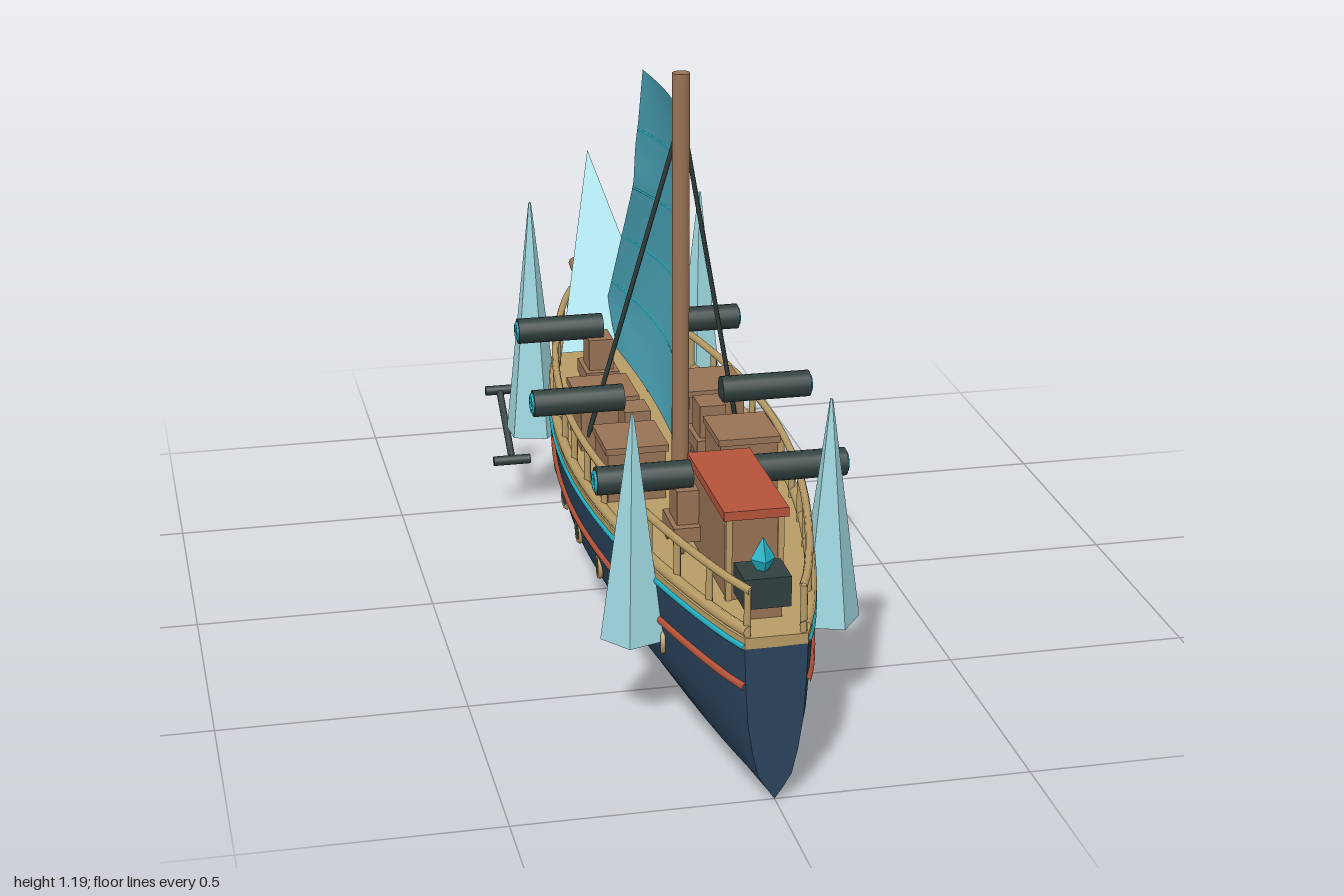
import * as THREE from 'three';
import { ConvexGeometry } from 'three/addons/geometries/ConvexGeometry.js';

const V = (x, y, z) => new THREE.Vector3(x, y, z);
const Z0 = -0.78, Z1 = 1.0;
// half width of the hull at the sheer line
const half = z => 0.06 + 0.16 * Math.pow(Math.max(0, Math.sin(Math.PI * (z - Z0) / (Z1 - Z0))), 0.85);

function material(name, color, extra = {}) {
  const m = new THREE.MeshStandardMaterial({ color, ...extra });
  m.name = name;
  return m;
}

export function createModel() {
  const root = new THREE.Group();
  root.name = 'sailingShip';
  const hullBlue = material('hullBlue', 0x2a445c);
  const deckTan = material('deckTan', 0xb89c66);
  const woodBrown = material('woodBrown', 0x987355);
  const roofRed = material('roofRed', 0xb5533a);
  const ironDark = material('ironDark', 0x31403f);
  const sailTeal = material('sailTeal', 0x4ba6ba, { side: THREE.DoubleSide });
  const brightTeal = material('brightTeal', 0x22b2c6);
  const ice = material('ice', 0xa0d8e0, { flatShading: true });

  const add = (name, geo, mat, x = 0, y = 0, z = 0) => {
    const m = new THREE.Mesh(geo, mat);
    m.name = name;
    m.position.set(x, y, z);
    root.add(m);
    return m;
  };
  const box = (name, w, h, d, mat, x, y, z) => add(name, new THREE.BoxGeometry(w, h, d), mat, x, y, z);
  const rod = (name, a, b, r, mat, sides = 10) => {
    const dir = b.clone().sub(a);
    const m = add(name, new THREE.CylinderGeometry(r, r, dir.length(), sides), mat);
    m.position.copy(a).add(b).multiplyScalar(0.5);
    m.quaternion.setFromUnitVectors(V(0, 1, 0), dir.normalize());
    return m;
  };
  // tube that follows the side of the hull
  const sideTube = (name, s, y, scale, offset, r, mat) => {
    const pts = [];
    for (let i = 0; i <= 28; i++) {
      const z = Z0 + (Z1 - Z0) * i / 28;
      pts.push(V(s * (half(z) * scale + offset), y, z));
    }
    add(name, new THREE.TubeGeometry(new THREE.CatmullRomCurve3(pts), 56, r, 8), mat);
  };

  // hull lofted from one section scaled along its length
  const section = [[1, 0.312], [0.96, 0.24], [0.88, 0.16], [0.73, 0.1], [0.54, 0.05], [0.27, 0.023], [0, 0]];
  const ring = [...section, ...section.slice(0, -1).reverse().map(([x, y]) => [-x, y])];
  const pos = [], idx = [], N = 40, M = ring.length;
  for (let i = 0; i <= N; i++) {
    const z = Z0 + (Z1 - Z0) * i / N;
    for (const [x, y] of ring) pos.push(x * half(z), y, z);
  }
  for (let i = 0; i < N; i++) for (let j = 0; j < M - 1; j++) {
    const a = i * M + j, b = a + M;
    idx.push(a, b, a + 1, b, b + 1, a + 1);
  }
  const hull = new THREE.BufferGeometry();
  hull.setAttribute('position', new THREE.Float32BufferAttribute(pos, 3));
  hull.setIndex(idx);
  hull.computeVertexNormals();
  add('hull', hull, hullBlue);
  const endShape = new THREE.Shape(ring.map(([x, y]) => new THREE.Vector2(x * half(Z1), y)));
  add('sternPlate', new THREE.ShapeGeometry(endShape), hullBlue, 0, 0, Z1);
  add('bowPlate', new THREE.ShapeGeometry(endShape), hullBlue, 0, 0, Z0).rotation.y = Math.PI;

  // deck
  const outline = [];
  for (let i = 0; i <= N; i++) {
    const z = Z0 + (Z1 - Z0) * i / N;
    outline.push(new THREE.Vector2(half(z), z));
  }
  const deckShape = new THREE.Shape([...outline, ...outline.slice().reverse().map(p => new THREE.Vector2(-p.x, p.y))]);
  const deck = new THREE.ExtrudeGeometry(deckShape, { depth: 0.022, bevelEnabled: false });
  deck.rotateX(Math.PI / 2);
  add('deck', deck, deckTan, 0, 0.333, 0);

  for (const s of [-1, 1]) {
    // stripes, railings and posts
    sideTube('redStripe', s, 0.235, 0.957, 0, 0.008, roofRed);
    sideTube('tealStripe', s, 0.315, 1, -0.002, 0.007, brightTeal);
    sideTube('lowerRail', s, 0.346, 1, -0.007, 0.011, deckTan);
    sideTube('upperRail', s, 0.426, 1, -0.012, 0.008, deckTan);
    for (let i = 0; i <= 14; i++) {
      const z = Z0 + 0.01 + (Z1 - Z0 - 0.02) * i / 14, x = s * (half(z) - 0.012);
      rod('railPost', V(x, 0.33, z), V(x, 0.426, z), 0.007, deckTan, 8);
    }
    // portholes
    for (let i = 0; i < 8; i++) {
      const z = 0.673 - 0.1875 * i, x = s * half(z) * 0.91;
      const slope = Math.atan((half(z + 0.01) - half(z - 0.01)) / 0.02);
      const g = new THREE.Group();
      g.name = 'porthole';
      const rim = new THREE.Mesh(new THREE.TorusGeometry(0.02, 0.006, 6, 16), deckTan);
      const pane = new THREE.Mesh(new THREE.CylinderGeometry(0.018, 0.018, 0.009, 16), ironDark);
      rim.name = 'portholeRim';
      pane.name = 'portholePane';
      pane.rotation.x = Math.PI / 2;
      g.add(rim, pane);
      g.position.set(x, 0.187, z);
      g.rotation.y = s * (Math.PI / 2 - slope);
      root.add(g);
    }
    // ice spikes on the flanks
    for (const [z, h, turn] of [[0.645, 0.46, 0.3], [-0.485, 0.545, 0.9]]) {
      const spike = new THREE.CylinderGeometry(0.003, 0.065, h, 5);
      add('iceSpike', spike, ice, s * 0.195, 0.19 + h / 2, z).rotation.y = s * turn;
    }
    // anchor
    rod('anchorStem', V(s * 0.242, 0.115, -0.5), V(s * 0.242, 0.225, -0.67), 0.008, ironDark);
    rod('anchorArms', V(s * 0.2, 0.115, -0.5), V(s * 0.285, 0.115, -0.5), 0.011, ironDark);
    rod('anchorStock', V(s * 0.205, 0.225, -0.67), V(s * 0.275, 0.225, -0.67), 0.011, ironDark);
    // cannons on wooden carriages
    for (const [z, x] of [[0.555, 0.06], [0.11, 0.105], [-0.345, 0.06]]) {
      rod('cannonBarrel', V(s * x, 0.482, z), V(s * (x + 0.19), 0.482, z), 0.028, ironDark, 16);
      const muzzle = add('muzzleRing', new THREE.TorusGeometry(0.017, 0.005, 6, 16), brightTeal, s * (x + 0.19), 0.482, z);
      muzzle.rotation.y = Math.PI / 2;
      rod('muzzleCore', V(s * (x + 0.185), 0.482, z), V(s * (x + 0.193), 0.482, z), 0.007, brightTeal);
      const cx = s * (x === 0.105 ? 0.08 : 0.068);
      box('carriageBase', 0.075, 0.03, 0.105, woodBrown, cx, 0.375, z);
      box('carriageBlock', 0.055, 0.07, 0.07, woodBrown, cx, 0.425, z);
      for (const dz of [-0.04, 0.04]) for (const dx of [-0.025, 0.025]) {
        rod('carriageWheel', V(cx + dx - 0.008, 0.348, z + dz), V(cx + dx + 0.008, 0.348, z + dz), 0.016, woodBrown);
      }
    }
    // crates
    for (const z of [-0.045, 0.245]) {
      box('crate', 0.12, 0.105, 0.135, woodBrown, s * 0.117, 0.385, z);
      box('crateLid', 0.13, 0.014, 0.145, woodBrown, s * 0.117, 0.443, z);
    }
    // shroud rope
    rod('shroud', V(s * 0.012, 1.05, 0.185), V(s * 0.165, 0.35, 0.015), 0.005, ironDark, 6);
  }

  // cabin
  box('cabin', 0.105, 0.17, 0.285, woodBrown, 0, 0.415, 0.685);
  box('cabinRoof', 0.125, 0.018, 0.31, roofRed, 0, 0.508, 0.687);
  for (const s of [-1, 1]) box('cabinPost', 0.012, 0.165, 0.012, deckTan, s * 0.05, 0.415, 0.826);

  // brazier with crystal
  box('brazierFoot', 0.06, 0.03, 0.06, woodBrown, 0, 0.345, 0.89);
  box('brazier', 0.09, 0.06, 0.085, ironDark, 0, 0.388, 0.89);
  add('brazierCrystal', new THREE.OctahedronGeometry(0.024), brightTeal, 0, 0.44, 0.89).scale.y = 1.8;

  // mast and bowsprit
  rod('mast', V(0, 0.33, 0.19), V(0, 1.19, 0.19), 0.018, woodBrown, 16);
  rod('bowsprit', V(0, 0.375, -0.74), V(0, 0.42, -0.998), 0.014, woodBrown, 12);

  // sail: trailing edge given by height, bulging to the left side
  const leech = [[0.37, -0.5], [0.46, -0.6], [0.64, -0.45], [0.82, -0.3], [0.91, -0.28], [0.98, -0.245], [1.1, -0.2]];
  const edgeAt = y => {
    let k = 0;
    while (k < leech.length - 2 && y > leech[k + 1][0]) k++;
    const [ya, za] = leech[k], [yb, zb] = leech[k + 1];
    return za + (zb - za) * (y - ya) / (yb - ya);
  };
  const sailPoint = (u, v, out = 0) => {
    const y = 0.37 + 0.73 * v, z = 0.178 + (edgeAt(y) - 0.178) * u;
    return V(0.004 + out + 0.05 * Math.sin(Math.PI * u) * Math.pow(Math.sin(Math.PI * Math.min(v * 0.93 + 0.04, 1)), 0.7), y, z);
  };
  const sail = new THREE.PlaneGeometry(1, 1, 16, 24), sp = sail.attributes.position;
  for (let i = 0; i < sp.count; i++) {
    const p = sailPoint(sp.getX(i) + 0.5, sp.getY(i) + 0.5);
    sp.setXYZ(i, p.x, p.y, p.z);
  }
  sail.computeVertexNormals();
  add('sail', sail, sailTeal);
  for (const v of [0.2, 0.4, 0.6, 0.8]) {
    const pts = Array.from({ length: 9 }, (_, i) => sailPoint(i / 8, v, 0.004));
    add('sailBatten', new THREE.TubeGeometry(new THREE.CatmullRomCurve3(pts), 20, 0.005, 6), brightTeal);
  }

  // leaning ice shard at the bow
  add('bowShard', new ConvexGeometry([V(-0.12, 0.36, -0.52), V(0.12, 0.36, -0.52), V(0, 0.36, -0.755), V(0, 0.755, -0.815)]), ice);

  return root;
}
